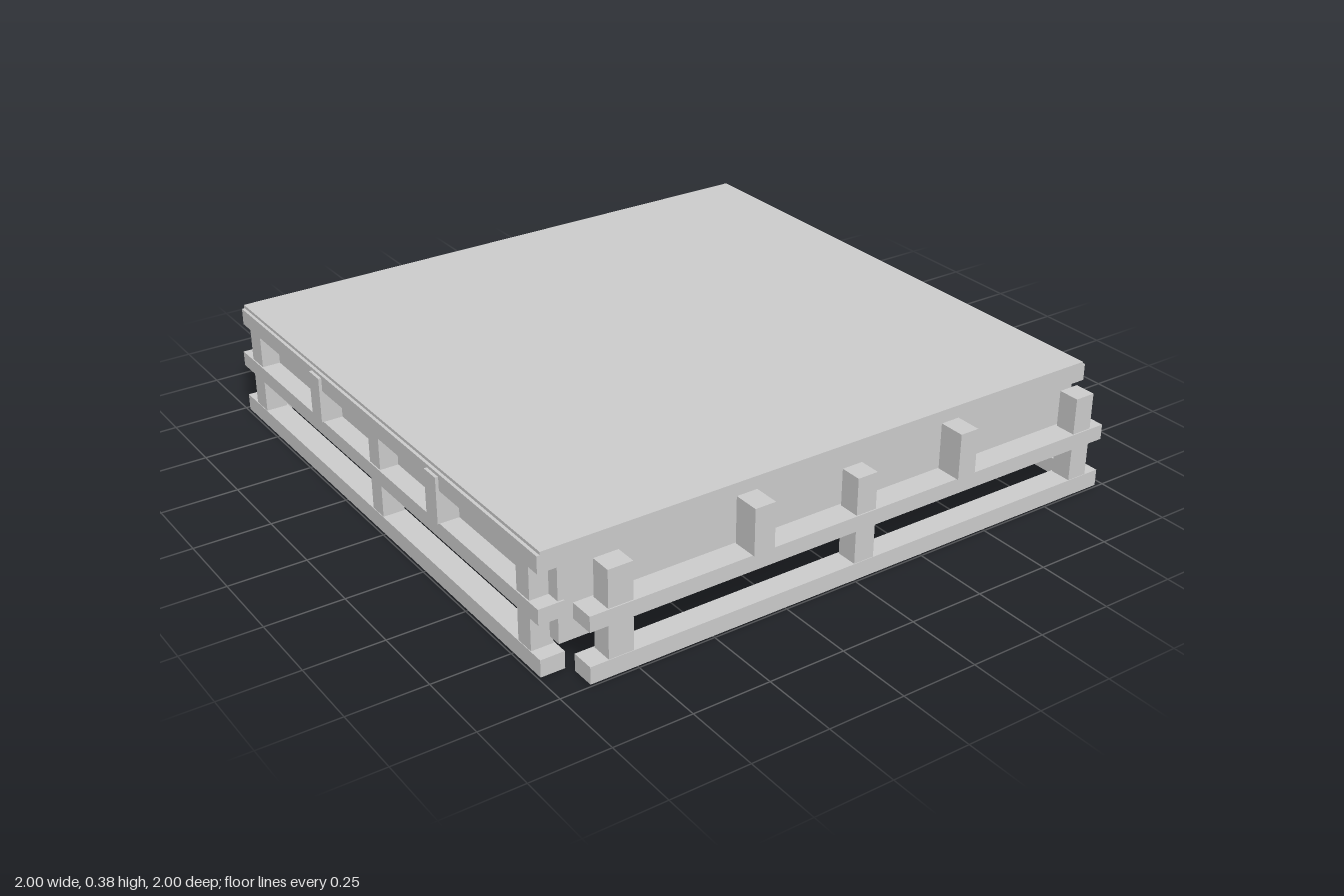
import * as THREE from 'three';

const material = new THREE.MeshStandardMaterial({ color: 0xcccccc, flatShading: true });

// Box given by its min and max along each axis
function addBox(parent, name, [x0, x1], [y0, y1], [z0, z1]) {
  const mesh = new THREE.Mesh(new THREE.BoxGeometry(x1 - x0, y1 - y0, z1 - z0), material);
  mesh.name = name;
  mesh.position.set((x0 + x1) / 2, (y0 + y1) / 2, (z0 + z1) / 2);
  parent.add(mesh);
}

// Lattice fence: two rails, three tall posts and two short ones.
// box(name, along, height, depth) places a piece in the fence's own direction.
function addFence(box, span, posts) {
  box('bottomRail', span, [0, 0.055], [0.915, 0.992]);
  box('middleRail', span, [0.165, 0.215], [0.912, 0.994]);
  posts.forEach(([a, b], i) => {
    if (i % 2 === 0) box('tallPost', [a, b], [0.05, 0.335], [0.92, 0.99]);
    else box('shortPost', [a, b], [0.215, 0.365], [0.915, 1]);
  });
}

export function createModel() {
  const model = new THREE.Group();
  model.name = 'fencedPlatform';

  // Solid core with a wider top slab and slightly lower edge strips
  addBox(model, 'core', [-0.93, 0.925], [0.08, 0.33], [-0.975, 0.885]);
  addBox(model, 'topSlab', [-0.98, 0.98], [0.32, 0.385], [-0.975, 0.885]);
  for (const s of [-1, 1]) {
    const xs = [s * 0.97, s * 0.99].sort((a, b) => a - b);
    addBox(model, 'edgeStrip', xs, [0.32, 0.375], [-0.97, 0.885]);
  }

  const alongX = [[-0.84, -0.76], [-0.37, -0.3], [0, 0.07], [0.375, 0.44], [0.855, 0.925]];
  const alongZ = [[-0.915, -0.84], [-0.445, -0.38], [-0.075, -0.01], [0.295, 0.36], [0.775, 0.84]];

  for (const s of [1, -1]) {
    const flip = ([a, b]) => (s > 0 ? [a, b] : [-b, -a]);

    // Front and back fences
    const endFence = new THREE.Group();
    endFence.name = s > 0 ? 'frontFence' : 'backFence';
    addFence((n, a, h, d) => addBox(endFence, n, a, h, flip(d)), [-0.9, 0.975], alongX);

    // Left and right fences
    const sideFence = new THREE.Group();
    sideFence.name = s > 0 ? 'leftFence' : 'rightFence';
    addFence((n, a, h, d) => addBox(sideFence, n, flip(d), h, a), [-0.985, 0.89], alongZ);

    model.add(endFence, sideFence);
  }
  return model;
}
